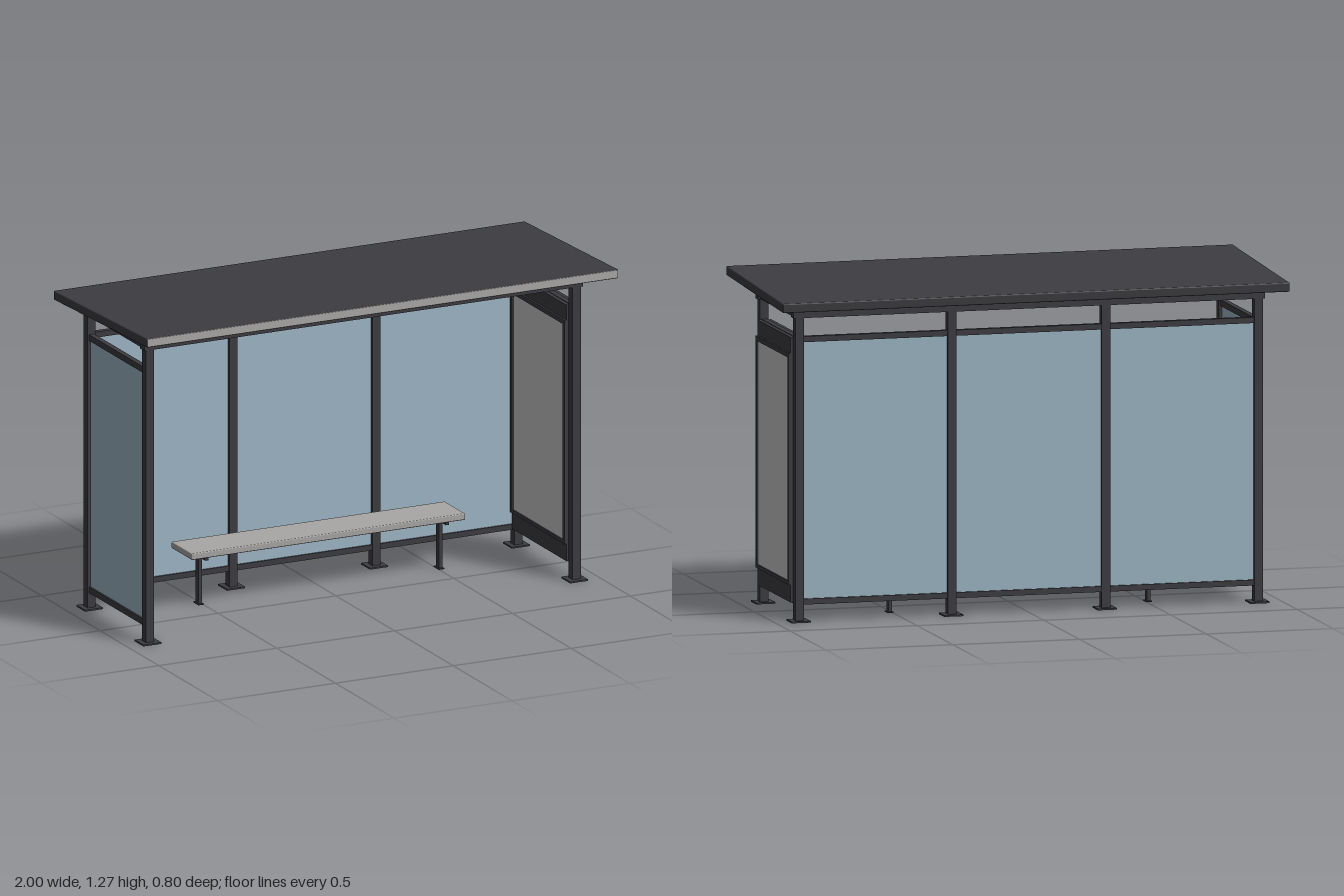
import * as THREE from 'three';
import { RoundedBoxGeometry } from 'three/addons/geometries/RoundedBoxGeometry.js';

const mat = (name, color) => Object.assign(new THREE.MeshStandardMaterial({ color }), { name });

export function createModel() {
  const frame = mat('dark frame', 0x3d3c41);
  const glass = mat('blue glass', 0x9fb8c8);
  const metal = mat('light metal', 0xa9a7a5);
  const poster = mat('poster grey', 0xcacaca);
  const model = new THREE.Group();
  model.name = 'busShelter';

  // Box spanning [x0,x1] x [y0,y1] x [z0,z1]
  function box(name, material, [x0, x1], [y0, y1], [z0, z1], parent = model) {
    const mesh = new THREE.Mesh(new THREE.BoxGeometry(x1 - x0, y1 - y0, z1 - z0), material);
    mesh.position.set((x0 + x1) / 2, (y0 + y1) / 2, (z0 + z1) / 2);
    mesh.name = name;
    parent.add(mesh);
    return mesh;
  }
  const around = (c, half) => [c - half, c + half];

  const postX = 0.905, frontZ = 0.217, backZ = -0.28, half = 0.017;

  // Posts with base plates
  const posts = [[-postX, frontZ], [postX, frontZ]];
  for (const x of [-postX, -0.303, 0.303, postX]) posts.push([x, backZ]);
  for (const [x, z] of posts) {
    box('post', frame, around(x, half), [0, 1.18], around(z, half));
    box('basePlate', frame, around(x, 0.038), [0, 0.006], around(z, 0.038));
  }

  // Top ring of beams
  box('frontBeam', frame, [-0.93, 0.93], [1.168, 1.215], around(frontZ, 0.02));
  box('backBeam', frame, [-0.93, 0.93], [1.168, 1.207], around(backZ, 0.019));
  for (const s of [-1, 1]) {
    box('sideBeam', frame, around(s * postX, 0.018), [1.17, 1.212], [backZ, frontZ]);
  }

  // Sloping roof with a pale front trim
  const roof = new THREE.Group();
  roof.name = 'roof';
  roof.position.y = 1.238;
  roof.rotation.x = -0.038;
  const slab = new THREE.Mesh(new RoundedBoxGeometry(2, 0.036, 0.798, 2, 0.005), frame);
  slab.name = 'roofSlab';
  roof.add(slab);
  box('frontTrim', metal, [-0.998, 0.998], [-0.015, 0.015], [0.396, 0.4005], roof);
  model.add(roof);

  // Back glazing in three bays
  const bays = [-postX, -0.303, 0.303, postX];
  for (let i = 0; i < 3; i++) {
    const span = [bays[i] + half, bays[i + 1] - half];
    box('backGlass', glass, span, [0.08, 1.085], around(backZ, 0.004));
    for (const y of [0.077, 1.085]) box('backRail', frame, span, around(y, 0.011), around(backZ, 0.011));
  }

  // Side rails and the one glazed end
  const sideSpan = [backZ + half, frontZ - half];
  box('sideGlass', glass, around(-postX, 0.004), [0.08, 1.085], sideSpan);
  for (const s of [-1, 1]) for (const y of [0.077, 1.08]) {
    box('sideRail', frame, around(s * postX, 0.011), around(y, 0.012), sideSpan);
  }

  // Poster case on the other end, with a raised frame on both faces
  const poster3d = new THREE.Group();
  poster3d.name = 'posterCase';
  model.add(poster3d);
  box('caseBody', frame, around(postX, 0.027), [0.072, 1.09], sideSpan, poster3d);
  for (const s of [-1, 1]) {
    box('poster', poster, around(postX + s * 0.027, 0.003), [0.15, 1.015], [-0.25, 0.188], poster3d);
    const layer = around(postX + s * 0.03, 0.005);
    box('posterFrameTop', frame, layer, [1.012, 1.03], sideSpan, poster3d);
    box('posterFrameBottom', frame, layer, [0.14, 0.154], sideSpan, poster3d);
    box('posterFrameFront', frame, layer, [0.154, 1.012], [0.184, 0.2], poster3d);
    box('posterFrameBack', frame, layer, [0.154, 1.012], [-0.263, -0.246], poster3d);
  }

  // Bench
  const bench = new THREE.Group();
  bench.name = 'bench';
  model.add(bench);
  const seat = new THREE.Mesh(new RoundedBoxGeometry(1.16, 0.026, 0.175, 2, 0.004), metal);
  seat.name = 'benchSeat';
  seat.position.set(0, 0.217, -0.15);
  bench.add(seat);
  for (const s of [-1, 1]) {
    box('benchLeg', frame, around(s * 0.51, 0.007), [0, 0.204], around(-0.145, 0.014), bench);
    box('benchBracket', frame, around(s * 0.51, 0.007), [0.19, 0.205], [-0.225, -0.075], bench);
    box('benchFoot', frame, around(s * 0.51, 0.012), [0, 0.004], around(-0.145, 0.022), bench);
  }
  return model;
}
